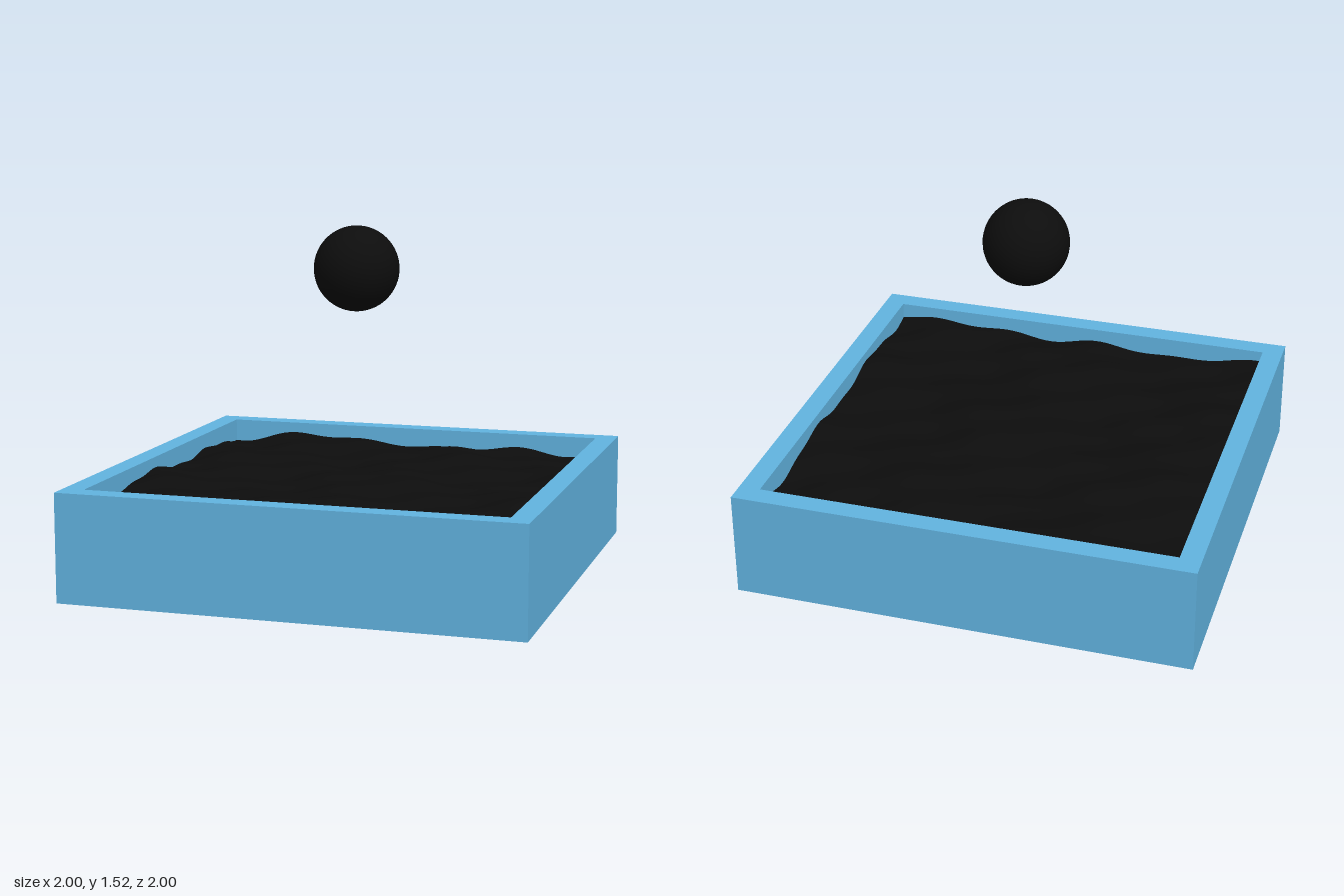
import * as THREE from 'three';

const HEIGHT = 0.47, INNER = 0.907, FLOOR = 0.09;

// Square tray as one closed shell: a four-sided lathe turned by 45 degrees
function makeTray() {
  const d = Math.SQRT2;
  const profile = [
    [0, 0], [d, 0], [d, HEIGHT], [INNER * d, HEIGHT], [INNER * d, FLOOR], [0, FLOOR],
  ].map(([x, y]) => new THREE.Vector2(x, y));
  const geometry = new THREE.LatheGeometry(profile, 4, Math.PI / 4);
  const material = new THREE.MeshStandardMaterial({ color: 0x62b4e1, flatShading: true });
  return new THREE.Mesh(geometry, material);
}

// Gentle irregular ripples from a few crossing waves
function ripple(x, z) {
  return 0.012 * Math.sin(7.3 * x + 2.1 * z + 0.6)
    + 0.011 * Math.sin(-4.2 * x + 9.1 * z + 1.9)
    + 0.009 * Math.sin(15.7 * x - 8.4 * z + 4.0)
    + 0.006 * Math.sin(11.3 * x + 21.5 * z + 2.7);
}

// Rippled surface filling the tray
function makeSurface(material) {
  const geometry = new THREE.PlaneGeometry(2 * INNER, 2 * INNER, 64, 64).rotateX(-Math.PI / 2);
  const p = geometry.attributes.position;
  for (let i = 0; i < p.count; i++) p.setY(i, 0.395 + ripple(p.getX(i), p.getZ(i)));
  geometry.computeVertexNormals();
  return new THREE.Mesh(geometry, material);
}

export function createModel() {
  const group = new THREE.Group();
  group.name = 'trayWithBall';

  const tray = makeTray();
  tray.name = 'tray';

  const surface = makeSurface(
    new THREE.MeshStandardMaterial({ color: 0x0d0d0d, side: THREE.DoubleSide }));
  surface.name = 'rippledSurface';

  // Ball hovering above the centre
  const ball = new THREE.Mesh(
    new THREE.SphereGeometry(0.188, 48, 32),
    new THREE.MeshStandardMaterial({ color: 0x0d0d0d }));
  ball.name = 'ball';
  ball.position.y = 1.335;

  group.add(tray, surface, ball);
  return group;
}
